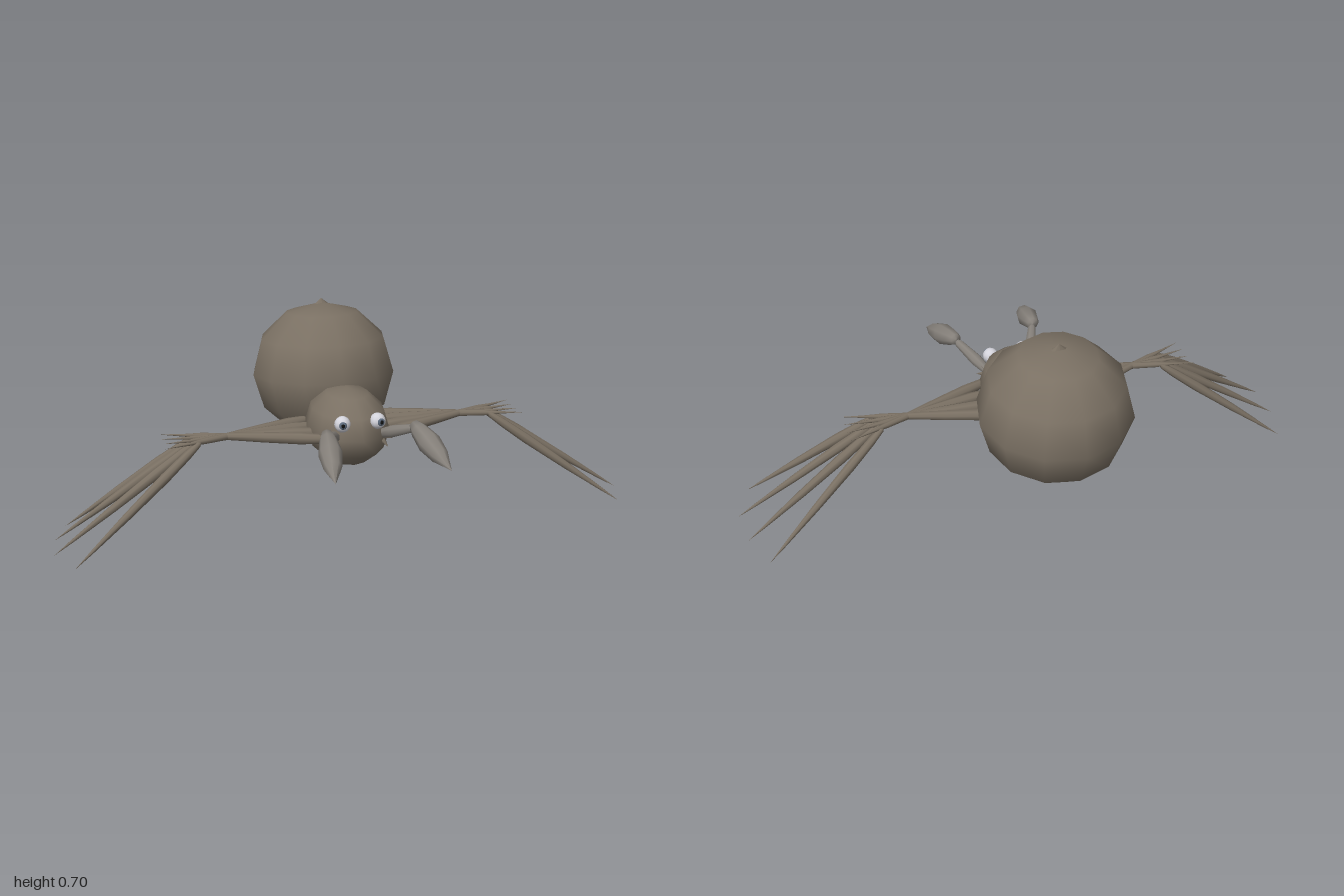
import * as THREE from 'three';

const brown = new THREE.MeshStandardMaterial({ color: 0x7a7063 });
const palpMat = new THREE.MeshStandardMaterial({ color: 0x85807a });
const white = new THREE.MeshStandardMaterial({ color: 0xd4d4dc });
const iris = new THREE.MeshStandardMaterial({ color: 0x5c6a7c });
const black = new THREE.MeshStandardMaterial({ color: 0x111111 });

const V = (x, y, z) => new THREE.Vector3(x, y, z);

function add(parent, name, geometry, material, position) {
  const mesh = new THREE.Mesh(geometry, material);
  mesh.name = name;
  if (position) mesh.position.copy(position);
  parent.add(mesh);
  return mesh;
}

// Low-sided ellipsoid with smooth normals
function ellipsoid(rx, ry, rz, w = 12, h = 6) {
  return new THREE.SphereGeometry(1, w, h).scale(rx, ry, rz);
}

// Tapered limb from a to b; profile holds [radius, fraction of length]
function limb(parent, name, a, b, radius, profile, material = brown, sides = 8) {
  const dir = b.clone().sub(a);
  const pts = profile.map(([r, t]) => new THREE.Vector2(r * radius, t * dir.length()));
  const mesh = add(parent, name, new THREE.LatheGeometry(pts, sides), material, a);
  mesh.quaternion.setFromUnitVectors(V(0, 1, 0), dir.normalize());
  return mesh;
}

const FEMUR = [[0, 0], [0.75, 0.03], [1, 0.2], [0.85, 0.4], [0.55, 0.65], [0.5, 0.76], [0.25, 0.85], [0, 1]];
const TIBIA = [[0, 0], [0.6, 0.03], [0.85, 0.12], [1, 0.3], [0.75, 0.6], [0.3, 0.88], [0, 1]];
const PALP_ARM = [[0, 0], [0.7, 0.08], [1, 0.4], [0.7, 0.85], [0, 1]];
const PALP_TIP = [[0, 0], [0.5, 0.02], [0.75, 0.15], [1, 0.42], [0.75, 0.7], [0, 1]];
const SPIKE = [[0, 0], [1, 0.3], [0, 1]];

export function createModel() {
  const model = new THREE.Group();
  model.name = 'spider';

  // Body
  const abdomen = add(model, 'abdomen', ellipsoid(0.255, 0.242, 0.255), brown, V(0, 0.445, -0.267));
  abdomen.rotation.x = -0.08;
  add(model, 'cephalothorax', ellipsoid(0.14, 0.132, 0.185), brown, V(0, 0.337, 0.025));
  const knob = add(model, 'abdomenKnob', new THREE.ConeGeometry(0.038, 0.03, 8), brown, V(0, 0.685, -0.287));
  knob.scale.z = 0.55;
  knob.rotation.x = -0.08;

  for (const s of [1, -1]) {
    const side = new THREE.Group();
    side.name = s > 0 ? 'leftSide' : 'rightSide';
    model.add(side);

    // Eye with iris and pupil, turned a little outward
    const eye = new THREE.Group();
    eye.name = 'eye';
    eye.position.set(s * 0.06, 0.392, 0.172);
    eye.rotation.set(-0.1, s * 0.2, 0);
    side.add(eye);
    add(eye, 'eyeball', ellipsoid(0.027, 0.027, 0.027, 10, 8), white);
    add(eye, 'iris', ellipsoid(0.013, 0.013, 0.006, 10, 6), iris, V(0, 0, 0.024));
    add(eye, 'pupil', ellipsoid(0.007, 0.007, 0.004, 8, 6), black, V(0, 0, 0.028));

    // Feeler with a leaf-shaped end
    limb(side, 'palpArm', V(s * 0.07, 0.335, 0.14), V(s * 0.15, 0.405, 0.305), 0.021, PALP_ARM, palpMat);
    limb(side, 'palpTip', V(s * 0.145, 0.41, 0.285), V(s * 0.185, 0.335, 0.52), 0.038, PALP_TIP, palpMat);

    // Small mouth spikes fanned around the feeler base
    for (let i = 0; i < 6; i++) {
      const a = i * Math.PI / 3;
      const c = Math.cos(a), d = Math.sin(a);
      limb(side, 'mouthSpike', V(s * 0.075, 0.332, 0.145),
        V(s * (0.085 + 0.028 * c), 0.328 + 0.038 * d, 0.165 + 0.01 * c), 0.011, SPIKE, brown, 6);
    }

    // Four legs whose upper segments cross near the knees
    const tips = [[0.945, 0.018, 0.22], [1, 0.015, 0.093], [0.99, 0.01, -0.033], [0.945, 0.003, -0.157]];
    tips.forEach(([x, y, z], i) => {
      const slope = [-0.33, -0.11, 0.11, 0.33][i];
      const at = (px, py) => V(s * px, py, 0.015 + slope * (px - 0.41));
      limb(side, 'upperLeg', at(0.07, 0.325), at(0.625, 0.336), 0.02, FEMUR);
      // the lower segment spreads the other way from the knee
      const knee = V(s * 0.5, 0.338, 0.015 - slope * 0.1);
      limb(side, 'lowerLeg', knee, V(s * x, y, z), 0.017, TIBIA);
    });
  }
  return model;
}
